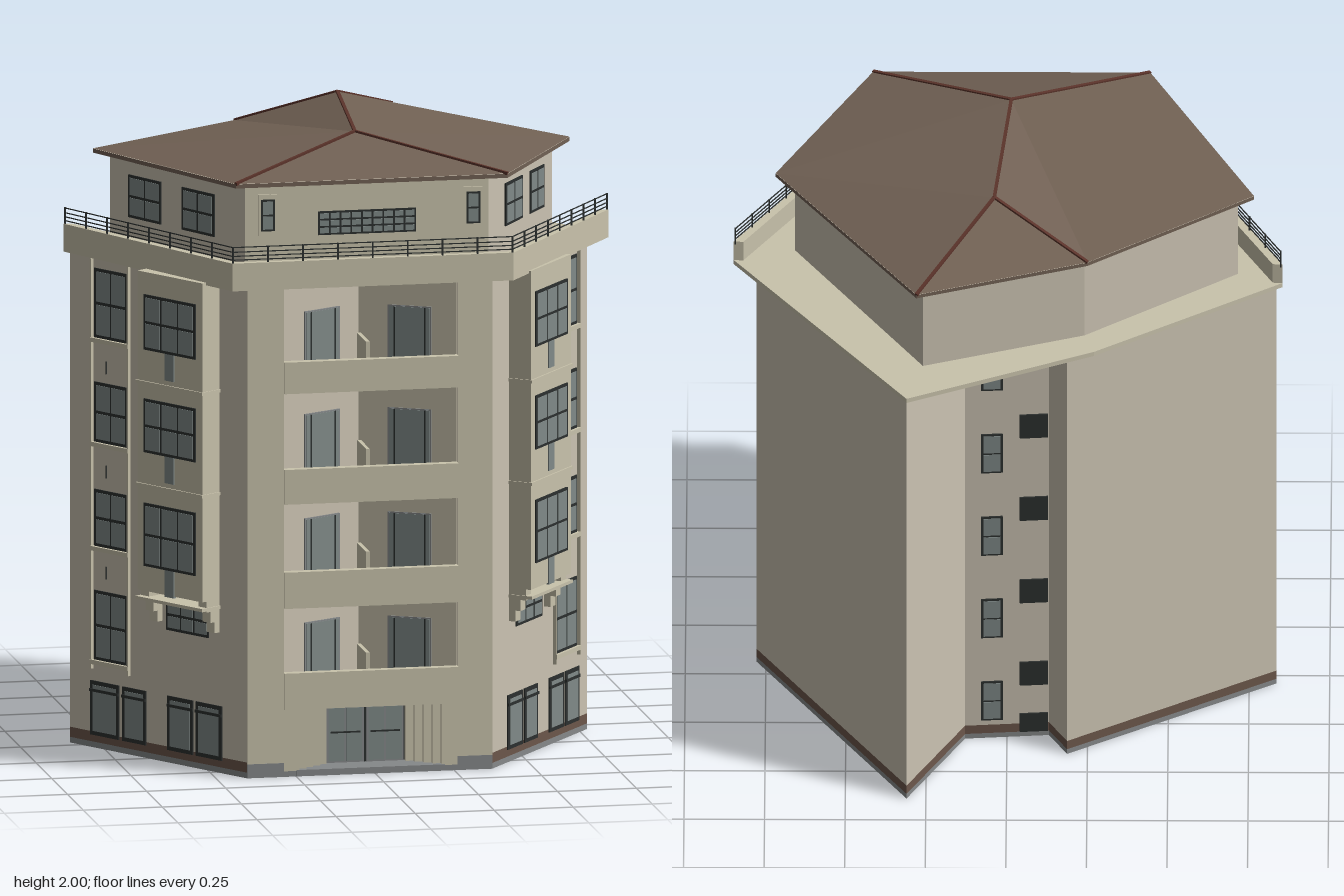
import * as THREE from 'three';

const mat = (name, color) => Object.assign(new THREE.MeshStandardMaterial({ color }), { name });

export function createModel() {
  const model = new THREE.Group();
  model.name = 'apartmentBuilding';
  const wall = mat('wall stucco', 0xcbc3b2);
  const trim = mat('pale stucco', 0xc9c3ac);
  const glass = mat('glass', 0x808a88);
  const dark = mat('dark frame', 0x2c302f);
  const roofMat = mat('roof tiles', 0x716154);
  const ridgeMat = mat('ridge tiles', 0x5c342b);
  const brown = mat('plinth brown', 0x6c574b);
  const grey = mat('base grey', 0x86898a);
  const under = mat('underside', 0x6c7071);

  const add = (parent, geo, material, name) => {
    const m = new THREE.Mesh(geo, material);
    m.name = name;
    parent.add(m);
    return m;
  };
  // Box given by its limits
  const box = (parent, name, material, x0, x1, y0, y1, z0, z1) => {
    const m = add(parent, new THREE.BoxGeometry(x1 - x0, y1 - y0, z1 - z0), material, name);
    m.position.set((x0 + x1) / 2, (y0 + y1) / 2, (z0 + z1) / 2);
    return m;
  };
  // Upright prism over a plan of [x, z] points
  const prism = (name, plan, y0, y1, material) => {
    const shape = new THREE.Shape(plan.map(([x, z]) => new THREE.Vector2(x, -z)));
    const geo = new THREE.ExtrudeGeometry(shape, { depth: y1 - y0, bevelEnabled: false });
    geo.rotateX(-Math.PI / 2).translate(0, y0, 0);
    return add(model, geo, material, name);
  };
  // Square bar between two points
  const bar = (parent, name, material, a, b, t) => {
    const p = new THREE.Vector3(...a), q = new THREE.Vector3(...b);
    const m = add(parent, new THREE.BoxGeometry(t, t, p.distanceTo(q)), material, name);
    m.position.copy(p).add(q).multiplyScalar(0.5);
    m.lookAt(q);
    return m;
  };
  // Local frame on a wall running from a to b (seen from outside, left to right);
  // x runs along the wall from the origin point, z points outward
  const frame = (name, a, b, origin) => {
    const g = new THREE.Group();
    g.name = name;
    g.position.set(origin[0], 0, origin[1]);
    g.rotation.y = Math.atan2(a[1] - b[1], b[0] - a[0]);
    model.add(g);
    return g;
  };
  // Thin frame with a grid of panes
  const windowAt = (parent, u0, u1, y0, y1, cols, rows, z = 0, edge = dark, gap = 0.009) => {
    const x0 = Math.min(u0, u1), x1 = Math.max(u0, u1);
    box(parent, 'windowFrame', edge, x0, x1, y0, y1, z - 0.002, z + 0.004);
    const w = (x1 - x0 - gap) / cols, h = (y1 - y0 - gap) / rows;
    for (let i = 0; i < cols; i++) for (let j = 0; j < rows; j++) {
      const x = x0 + gap + i * w, y = y0 + gap + j * h;
      box(parent, 'windowPane', glass, x, x + w - gap, y, y + h - gap, z, z + 0.006);
    }
  };

  // Main body with loggia niche in front and light well at the back
  const FL = [-0.405, 0.615], FR = [0.37, 0.615], R = [0.78, 0.065], L = [-0.835, -0.04];
  const niche = [[-0.29, 0.6], [-0.02, 0.455], [0.26, 0.6]];
  const well = [[0.13, -0.33], [-0.13, -0.31]];
  const rear = [FR, R, [0.31, -0.64], ...well, [-0.187, -0.407], L];
  const plan = [FL, [-0.29, 0.615], ...niche, [0.26, 0.615], ...rear];
  prism('base', [FL, ...rear], 0, 0.018, [under, grey]);
  prism('plinth', plan, 0.018, 0.05, brown);
  prism('body', plan, 0.05, 1.56, wall);

  // Front piers
  for (const [x0, x1] of [[-0.405, -0.29], [0.26, 0.37]]) {
    box(model, 'pier', trim, x0, x1, 0.045, 1.56, 0.61, 0.619);
    box(model, 'pierBase', grey, x0, x1, 0.001, 0.045, 0.61, 0.62);
  }

  // Loggias: floor, parapet, low partition and two slanted windows per storey
  const nichePlan = [[-0.29, 0.615], ...niche, [0.26, 0.615]];
  const halves = [
    { g: frame('leftLoggia', niche[0], niche[1], niche[0]), u: [0.085, 0.225] },
    { g: frame('rightLoggia', niche[1], niche[2], niche[1]), u: [0.095, 0.235] },
  ];
  // pale plate on the right hand half
  box(halves[1].g, 'loggiaWall', trim, 0, 0.315, 0.22, 1.56, -0.002, 0.002);
  for (const [y0, y1, top] of [[0.215, 0.33, 0.475], [0.535, 0.65, 0.805], [0.865, 0.975, 1.135], [1.215, 1.315, 1.46]]) {
    prism('loggiaFloor', nichePlan, y0, y0 + 0.015, trim);
    box(model, 'loggiaParapet', trim, -0.29, 0.26, y0, y1, 0.605, 0.632);
    box(model, 'loggiaPartition', trim, -0.026, -0.014, y0, y1 + 0.05, 0.455, 0.6);
    for (const { g, u } of halves) {
      windowAt(g, u[0], u[1], y0 + 0.015, top, 1, 1, 0.002, grey, 0.004);
      for (const f of [0.14, 0.84]) {
        const x = u[0] + (u[1] - u[0]) * f;
        box(g, 'casementBar', dark, x, x + 0.005, y0 + 0.015, top - 0.004, 0.004, 0.0095);
      }
    }
  }

  // Entrance with stepped jambs and glazed doors
  for (let i = 0; i < 5; i++) {
    const s = 0.025 * i, z = 0.617 - 0.018 * i;
    box(model, 'entranceJamb', trim, -0.29, -0.24 + s, 0.018, 0.216, 0.46, z);
    box(model, 'entranceJamb', trim, 0.21 - s, 0.26, 0.018, 0.216, 0.46, z);
  }
  box(model, 'doorBacking', dark, -0.14, 0.11, 0.018, 0.216, 0.5, 0.526);
  for (const x of [-0.137, -0.011]) {
    windowAt(model, x, x + 0.118, 0.02, 0.2, 2, 1, 0.526, grey, 0.006);
    box(model, 'doorHandle', dark, x + 0.012, x + 0.106, 0.115, 0.12, 0.53, 0.535);
  }
  box(model, 'threshold', grey, -0.25, 0.22, 0.001, 0.021, 0.46, 0.62);

  // Slanted side facades; s is measured from the front corner
  const facades = [
    { g: frame('leftFacade', L, FL, FL), d: -1, col: [0.528, 0.674],
      shops: [[0.109, 0.225], [0.237, 0.35], [0.446, 0.55], [0.566, 0.692]] },
    { g: frame('rightFacade', FR, R, FR), d: 1, col: [0.45, 0.605],
      shops: [[0.106, 0.215], [0.227, 0.324], [0.405, 0.51], [0.522, 0.622]] },
  ];
  for (const { g, d, col, shops } of facades) {
    const sideBox = (name, m, s0, s1, y0, y1, z0, z1) =>
      box(g, name, m, Math.min(d * s0, d * s1), Math.max(d * s0, d * s1), y0, y1, z0, z1);
    // ground floor shop windows
    for (const [a, b] of shops) {
      windowAt(g, d * a, d * b, 0.04, 0.212, 1, 1, 0, dark, 0.013);
      sideBox('shopTransom', dark, a, b, 0.178, 0.187, 0, 0.008);
    }
    // column of tall windows with flanking strips
    for (const [y0, y1] of [[0.28, 0.5], [0.64, 0.82], [0.97, 1.16], [1.3, 1.52]]) {
      windowAt(g, d * col[0], d * col[1], y0, y1, 2, 2, 0, dark, 0.01);
      sideBox('windowSill', trim, col[0] - 0.01, col[1] + 0.01, y0 - 0.014, y0, 0, 0.014);
    }
    for (const s of [col[0] - 0.012, col[1] + 0.006])
      sideBox('windowStrip', trim, s, s + 0.006, 0.25, 1.55, 0, 0.012);
    for (const y of [0.54, 0.86, 1.19]) {
      const s = (col[0] + col[1]) / 2 + 0.02;
      sideBox('ventSlit', dark, s, s + 0.003, y, y + 0.04, 0, 0.004);
    }
    // projecting bay
    sideBox('bay', trim, 0.122, 0.41, 0.55, 1.56, -0.02, 0.075);
    for (const [y0, y1] of [[0.63, 0.83], [0.99, 1.16], [1.315, 1.49]]) {
      windowAt(g, d * 0.15, d * 0.378, y0, y1, 3, 2, 0.076);
      sideBox('bayPanel', glass, 0.245, 0.285, y0 - 0.085, y0, 0.07, 0.079);
      sideBox('bayBand', trim, 0.118, 0.414, y0 - 0.11, y0 - 0.1, 0, 0.08);
    }
    // stepped brackets and small window below the bay
    for (let i = 0; i < 3; i++) for (const s of [0.122, 0.375])
      sideBox('bayBracket', trim, s, s + 0.035, 0.515 - i * 0.035, 0.55 - i * 0.035, -0.01, 0.058 - i * 0.018);
    windowAt(g, d * 0.168, d * 0.355, 0.42, 0.52, 3, 2);
  }

  // Light well windows
  const wellWall = frame('lightWell', well[0], well[1], well[0]);
  for (let i = 0; i < 5; i++) {
    const y = 0.2 + i * 0.32;
    windowAt(wellWall, 0.05, 0.117, y - 0.13, y + 0.02, 1, 2, 0, dark, 0.007);
    box(wellWall, 'wellOpening', dark, 0.17, 0.258, y, Math.min(y + 0.09, 1.55), -0.002, 0.005);
  }
  box(wellWall, 'wellDoor', dark, 0.17, 0.258, 0.02, 0.09, -0.002, 0.005);

  // Terrace slab, parapet and railing
  const edge = [[-0.853, -0.057], [-0.46, 0.655], [0.43, 0.655], [0.85, 0.053]];
  prism('terraceSlab', [...edge, [0.31, -0.66], [-0.27, -0.415]], 1.552, 1.568, trim);
  const inner = edge.map(([x, z]) => [x * 0.965, z * 0.965]).reverse();
  prism('terraceParapet', [...edge, ...inner], 1.56, 1.64, trim);
  const railing = new THREE.Group();
  railing.name = 'railing';
  model.add(railing);
  for (let i = 0; i < 3; i++) {
    const [a, b] = [edge[i], edge[i + 1]].map((p) => [p[0] * 0.994, p[1] * 0.994]);
    for (const y of [1.65, 1.662, 1.675, 1.69]) bar(railing, 'rail', dark, [a[0], y, a[1]], [b[0], y, b[1]], 0.003);
    for (let k = 0; k <= 8; k++) {
      const x = a[0] + (b[0] - a[0]) * k / 8, z = a[1] + (b[1] - a[1]) * k / 8;
      box(railing, 'railPost', dark, x - 0.0025, x + 0.0025, 1.63, 1.692, z - 0.0025, z + 0.0025);
    }
  }

  // Penthouse
  const pFL = [-0.4, 0.555], pFR = [0.37, 0.555], pR = [0.66, 0.105], pL = [-0.715, -0.01];
  prism('penthouse', [pFL, pFR, pR, [0.26, -0.49], [-0.24, -0.33], pL], 1.56, 1.87, wall);
  box(model, 'penthouseFront', trim, -0.4, 0.37, 1.565, 1.87, 0.55, 0.558);
  windowAt(model, -0.17, 0.14, 1.7, 1.775, 9, 3, 0.558, dark, 0.006);
  for (const x of [-0.33, 0.32]) {
    box(model, 'sideWindowSurround', trim, x - 0.03, x + 0.03, 1.705, 1.835, 0.555, 0.565);
    windowAt(model, x - 0.022, x + 0.022, 1.72, 1.82, 1, 2, 0.565, dark, 0.006);
  }
  const pl = frame('penthouseLeft', pL, pFL, pFL), pr = frame('penthouseRight', pFR, pR, pFR);
  for (const [a, b] of [[0.144, 0.3], [0.4, 0.555]]) windowAt(pl, -a, -b, 1.68, 1.815, 2, 2);
  for (const [a, b] of [[0.137, 0.28], [0.345, 0.464]]) windowAt(pr, a, b, 1.68, 1.815, 2, 2);

  // Hipped roof: eave board, slopes and ridge tiles
  const eave = [[-0.44, 0.61], [0.42, 0.61], [0.72, 0.085], [0.28, -0.54], [-0.25, -0.37], [-0.765, -0.025]];
  prism('eaveBoard', eave, 1.868, 1.881, [wall, roofMat]);
  const [e0, e1, e2, e3, e4, e5] = eave.map(([x, z]) => [x, 1.882, z]);
  const A = [0.04, 1.997, -0.19], B = [-0.01, 1.978, 0.34];
  const faces = [e0, e1, B, e1, e2, B, e2, A, B, e2, e3, A, e3, e4, A, e4, B, A, e4, e5, B, e5, e0, B];
  const roof = new THREE.BufferGeometry();
  roof.setAttribute('position', new THREE.Float32BufferAttribute(faces.flat(), 3));
  roof.computeVertexNormals();
  add(model, roof, roofMat, 'roof');
  for (const [p, q] of [[A, B], [A, e3], [A, e4], [B, e0], [B, e1]]) bar(model, 'ridge', ridgeMat, p, q, 0.01);

  return model;
}
